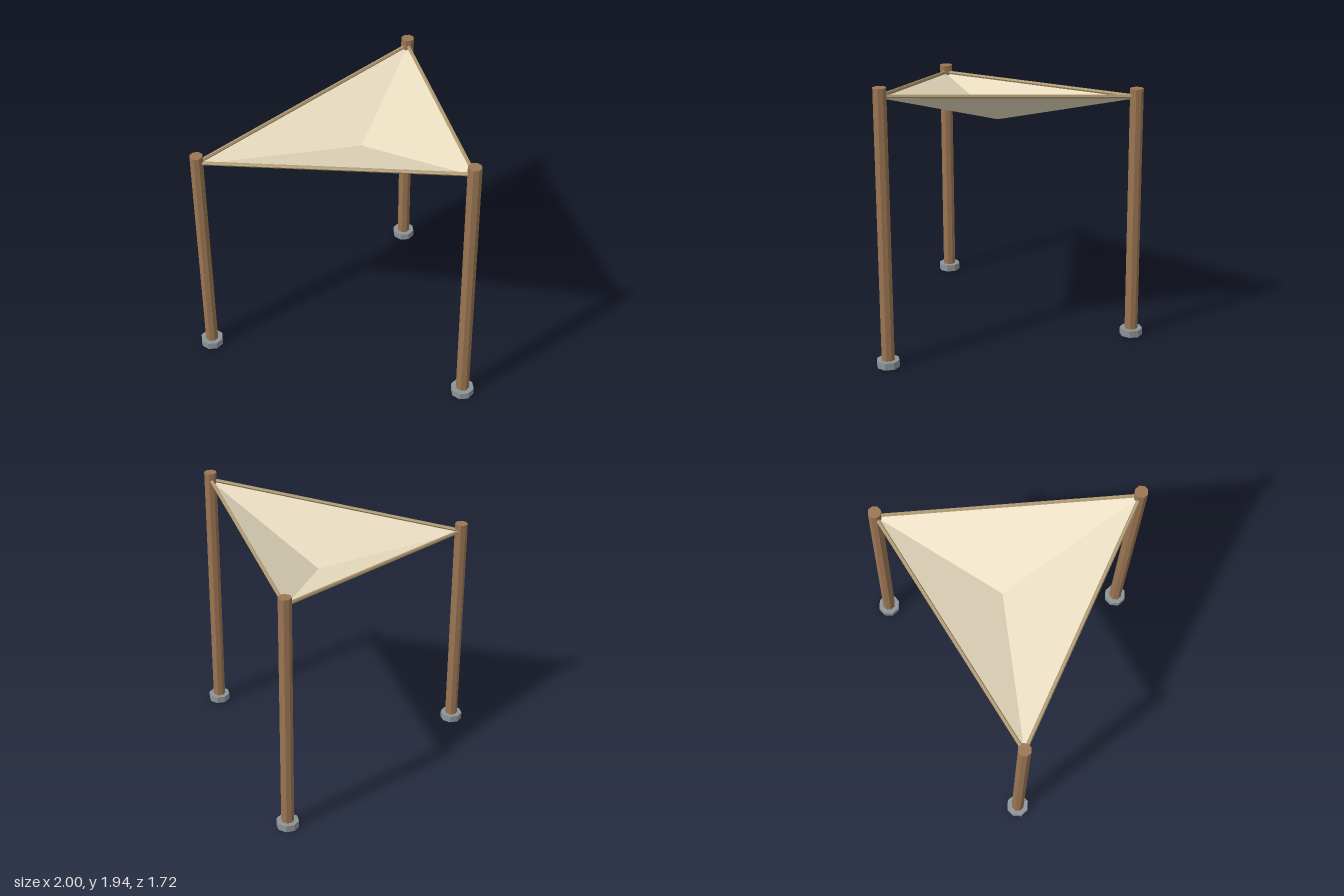
import * as THREE from 'three';

const mat = (color, extra = {}) => new THREE.MeshStandardMaterial({ color, flatShading: true, ...extra });

export function createModel() {
  const group = new THREE.Group();
  const wood = mat(0x9b7653);
  const stone = mat(0x8d9499);
  const cord = mat(0xb09a70);
  const cloth = mat(0xe8dcc0, { side: THREE.DoubleSide });

  const add = (name, geometry, material, x = 0, y = 0, z = 0) => {
    const mesh = new THREE.Mesh(geometry, material);
    mesh.name = name;
    mesh.position.set(x, y, z);
    group.add(mesh);
    return mesh;
  };

  // Posts of different heights on octagonal footings
  const posts = [
    { side: 'right', x: -0.92, z: 0.78, top: 1.66 },
    { side: 'left', x: 0.92, z: 0.78, top: 1.94 },
    { side: 'back', x: 0.1, z: -0.78, top: 1.8 },
  ];
  for (const { side, x, z, top } of posts) {
    add(side + 'Footing', new THREE.CylinderGeometry(0.08, 0.08, 0.05, 8), stone, x, 0.025, z);
    add(side + 'Post', new THREE.CylinderGeometry(0.046, 0.046, top, 8), wood, x, top / 2, z);
  }

  // Edge ropes strung between the posts just below their tops
  const ties = posts.map(p => new THREE.Vector3(p.x, p.top - 0.057, p.z));
  ties.forEach((a, i) => {
    const b = ties[(i + 1) % 3];
    const dir = b.clone().sub(a);
    const rope = add('edgeRope', new THREE.CylinderGeometry(0.013, 0.013, dir.length(), 6), cord);
    rope.position.copy(a).lerp(b, 0.5);
    rope.quaternion.setFromUnitVectors(new THREE.Vector3(0, 1, 0), dir.normalize());
  });

  // Three-cornered sail sagging to a low point
  const low = new THREE.Vector3(0.033, 1.518, 0.19);
  const corners = ties.map(t => t.clone().setY(t.y - 0.012));
  const points = corners.flatMap((c, i) => [c, corners[(i + 1) % 3], low]);
  const sail = new THREE.BufferGeometry().setFromPoints(points);
  sail.computeVertexNormals();
  add('shadeSail', sail, cloth);

  return group;
}
